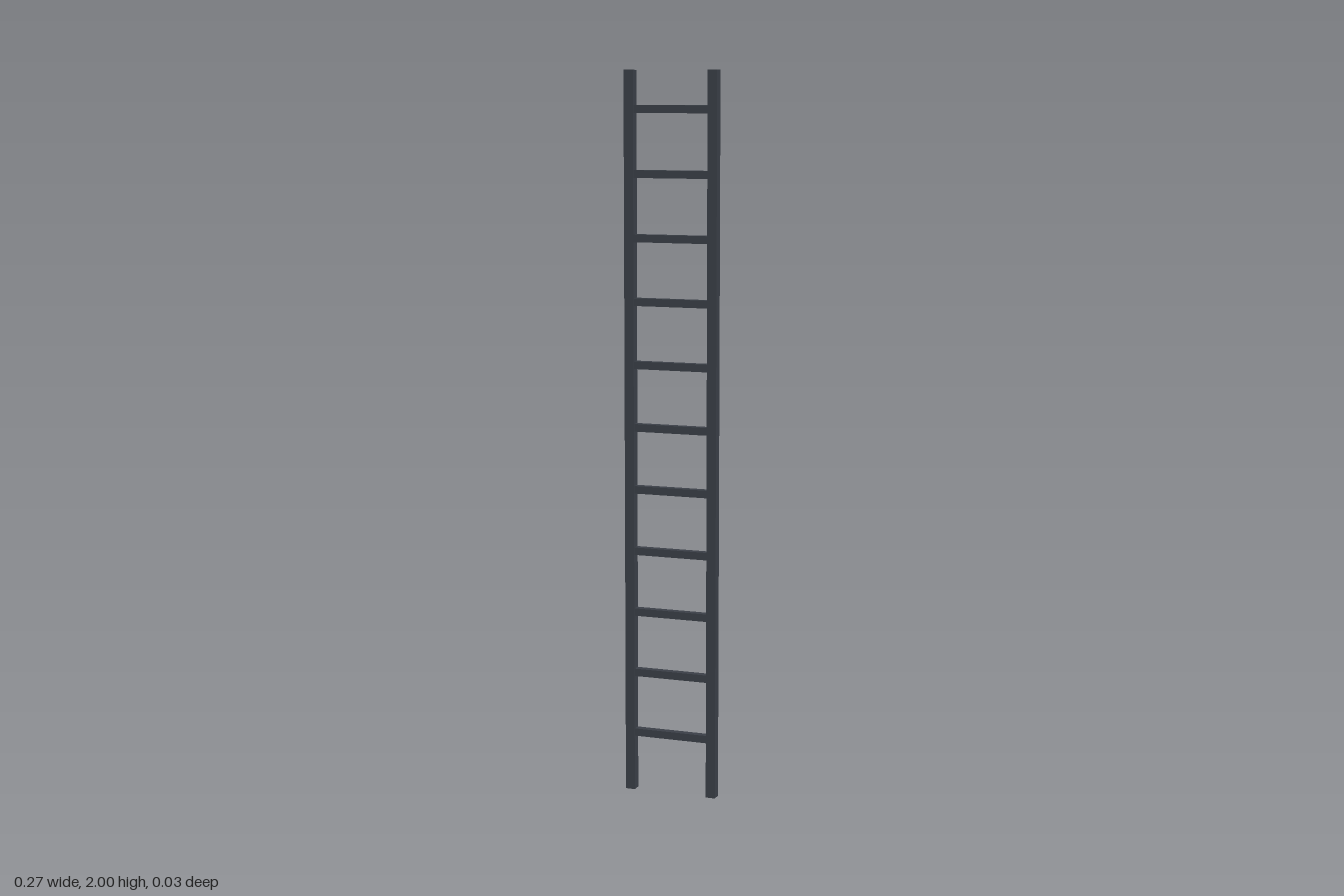
import * as THREE from 'three';

export function createModel() {
  const ladder = new THREE.Group();
  ladder.name = 'ladder';
  const darkMetal = new THREE.MeshStandardMaterial({ color: 0x3a3f47 });
  darkMetal.name = 'darkMetal';

  const railWidth = 0.027, railX = 0.1192;
  const rungSize = 0.021, rungCount = 11, firstRung = 0.166, rungStep = 0.173;

  function addBar(name, size, x, y) {
    const bar = new THREE.Mesh(new THREE.BoxGeometry(...size), darkMetal);
    bar.name = name;
    bar.position.set(x, y, 0);
    ladder.add(bar);
  }

  // Upright side rails
  addBar('leftRail', [railWidth, 2, railWidth], railX, 1);
  addBar('rightRail', [railWidth, 2, railWidth], -railX, 1);

  // Square rungs between the inner faces of the rails
  const rungLength = 2 * railX - railWidth;
  for (let i = 0; i < rungCount; i++) {
    addBar(`rung${i + 1}`, [rungLength, rungSize, rungSize], 0, firstRung + i * rungStep);
  }
  return ladder;
}
